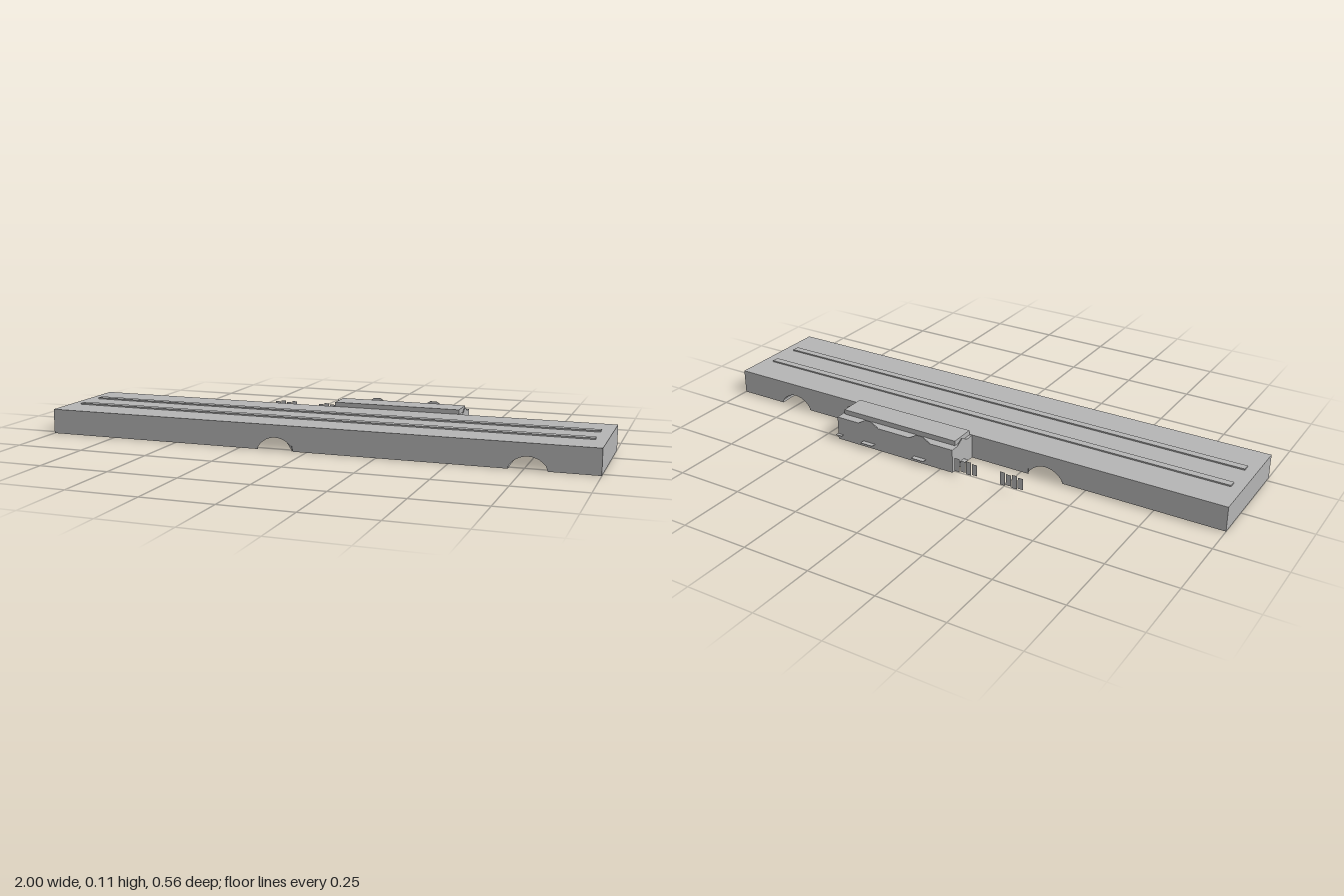
import * as THREE from 'three';

export function createModel() {
  const model = new THREE.Group();
  const grey = new THREE.MeshStandardMaterial({ color: 0xb4b4b4, side: THREE.DoubleSide, flatShading: true });
  grey.name = 'concreteGrey';

  const TOP = 0.09, FRONT = 0.273, BACK = -0.133;

  function add(name, geometry, parent = model) {
    const mesh = new THREE.Mesh(geometry, grey);
    mesh.name = name;
    parent.add(mesh);
    return mesh;
  }
  // Box given by its minimum and maximum corners
  function box(name, x0, x1, y0, y1, z0, z1, parent) {
    const mesh = add(name, new THREE.BoxGeometry(x1 - x0, y1 - y0, z1 - z0), parent);
    mesh.position.set((x0 + x1) / 2, (y0 + y1) / 2, (z0 + z1) / 2);
    return mesh;
  }

  // Solid viaduct blocks between the two underpasses
  box('viaductRightBlock', -1, -0.41, 0, TOP, BACK, FRONT);
  box('viaductMiddleBlock', -0.05, 0.68, 0, TOP, BACK, FRONT);
  box('viaductLeftBlock', 0.83, 1, 0, TOP, BACK, FRONT);

  // Arch outline: short jambs and a circular segment, left to right
  const HALF = 0.065, JAMB = 0.008, RISE = 0.037;
  const R = (HALF * HALF + RISE * RISE) / (2 * RISE);
  const sweep = Math.asin(HALF / R);
  const arch = [[-HALF, 0]];
  for (let i = 0; i <= 12; i++) {
    const a = sweep * (i / 6 - 1);
    arch.push([R * Math.sin(a), JAMB + RISE - R + R * Math.cos(a)]);
  }
  arch.push([HALF, 0]);

  // Hollow bridge bay with an arched opening in each wall and a skewed vault
  function underpass(name, x0, x1, frontX, backX) {
    const bay = new THREE.Group();
    bay.name = name;
    model.add(bay);
    for (const [side, cx, z] of [['frontWall', frontX, FRONT], ['backWall', backX, BACK]]) {
      const outline = [[x0, 0], ...arch.map(([x, y]) => [x + cx, y]), [x1, 0], [x1, TOP], [x0, TOP]];
      const shape = new THREE.Shape(outline.map(([x, y]) => new THREE.Vector2(x, y)));
      add(side, new THREE.ShapeGeometry(shape), bay).position.z = z;
    }
    box('bridgeDeck', x0, x1, TOP - 0.006, TOP, BACK, FRONT, bay);
    const position = [], index = [];
    arch.forEach(([x, y], i) => {
      position.push(x + frontX, y, FRONT, x + backX, y, BACK);
      if (i) {
        const a = 2 * i - 2;
        index.push(a, a + 2, a + 1, a + 1, a + 2, a + 3);
      }
    });
    const vault = new THREE.BufferGeometry();
    vault.setAttribute('position', new THREE.Float32BufferAttribute(position, 3));
    vault.setIndex(index);
    vault.computeVertexNormals();
    add('vault', vault, bay);
  }
  underpass('skewUnderpass', -0.41, -0.05, -0.115, -0.345);
  underpass('straightUnderpass', 0.68, 0.83, 0.765, 0.745);

  // Two long track strips on the deck
  for (const z of [0.135, 0.007]) box('trackStrip', -0.96, 0.96, TOP, 0.095, z - 0.0135, z + 0.0135);

  // Station building
  const station = new THREE.Group();
  station.name = 'station';
  model.add(station);
  const X0 = -0.05, X1 = 0.443, REAR = -0.263, EAVES = 0.088;
  box('stationWalls', X0, X1, 0, EAVES, REAR, BACK, station);
  box('upperRoof', -0.04, 0.435, EAVES, 0.106, -0.23, -0.135, station);

  // Low gables on the end walls
  const gable = new THREE.Shape();
  gable.moveTo(0.165, EAVES);
  gable.lineTo(0.198, 0.105);
  gable.lineTo(0.23, EAVES);
  for (const x of [X0 + 0.003, X1]) {
    const end = add('endGable', new THREE.ExtrudeGeometry(gable, { depth: 0.003, bevelEnabled: false }), station);
    end.rotation.y = Math.PI / 2;
    end.position.x = x - 0.003;
  }

  // Rear parapet peaks, each with an entrance canopy below
  const peak = new THREE.Shape();
  peak.moveTo(-0.045, EAVES);
  peak.lineTo(-0.012, 0.108);
  peak.lineTo(0.012, 0.108);
  peak.lineTo(0.045, EAVES);
  for (const x of [0.085, 0.305]) {
    const p = add('parapetPeak', new THREE.ExtrudeGeometry(peak, { depth: 0.004, bevelEnabled: false }), station);
    p.position.set(x, 0, REAR - 0.002);
    box('rearCanopy', x - 0.025, x + 0.025, 0.019, 0.021, -0.281, REAR, station);
  }
  box('cornerCanopy', 0.42, 0.445, 0.019, 0.021, -0.275, REAR, station);
  box('sideCanopy', -0.068, X0, 0.019, 0.021, -0.215, -0.188, station);

  // Slatted panels behind the viaduct
  for (const cx of [-0.295, -0.115]) {
    const panel = new THREE.Group();
    panel.name = 'slattedPanel';
    panel.position.set(cx, 0.047, -0.28);
    for (let i = 0; i < 4; i++) {
      const slat = add('slat', new THREE.PlaneGeometry(0.02, i % 2 ? 0.05 : 0.042), panel);
      slat.position.x = (i - 1.5) * 0.023;
    }
    model.add(panel);
  }

  // Small upright plates beside the arches
  for (const [x, z] of [[-0.05, 0.2795], [-0.28, -0.136]]) {
    const plate = add('archPlate', new THREE.PlaneGeometry(0.005, 0.02));
    plate.rotation.y = Math.PI / 2;
    plate.position.set(x, 0.012, z);
  }
  return model;
}
